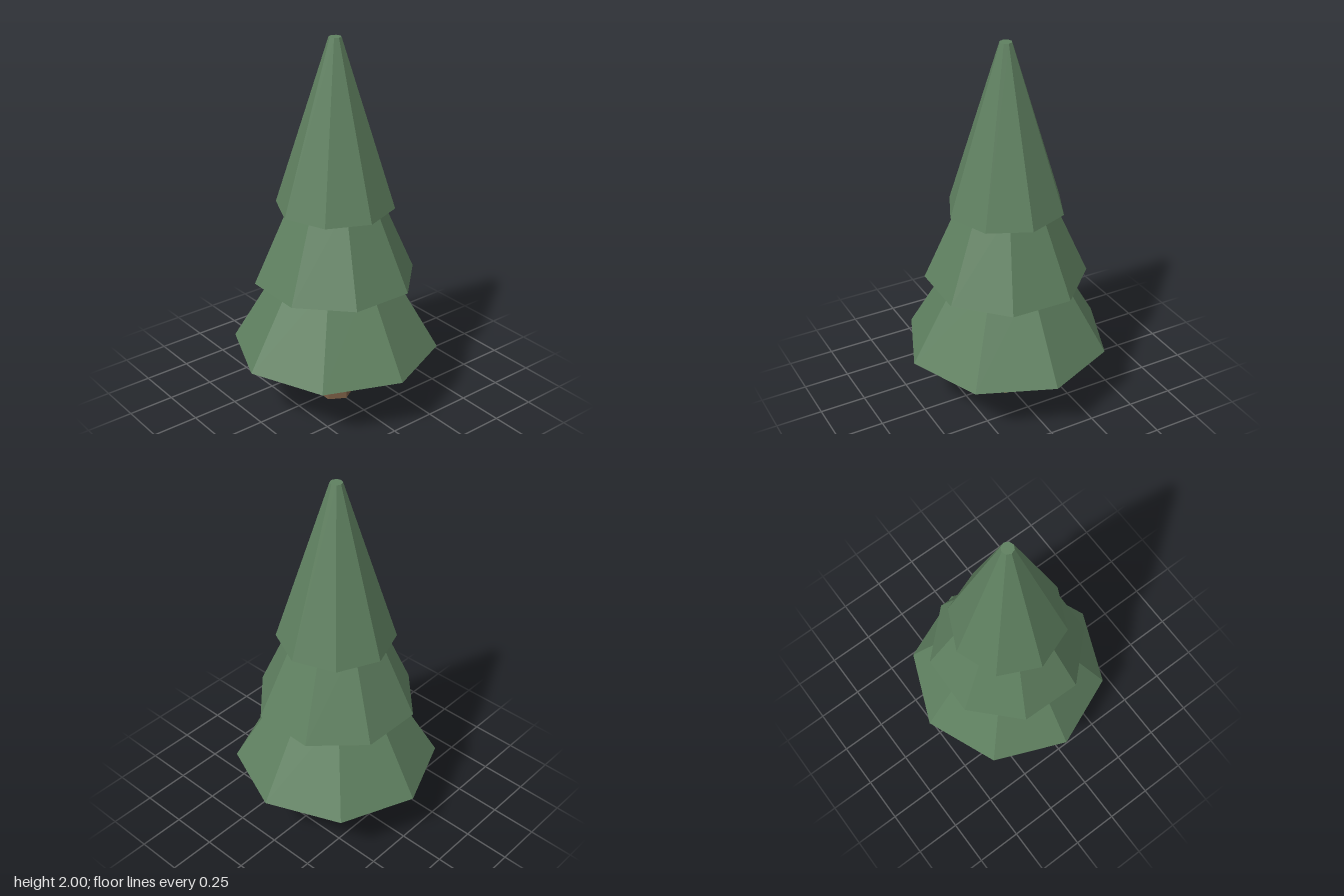
import * as THREE from 'three';

export function createModel() {
  const tree = new THREE.Group();
  tree.name = 'pineTree';

  const foliage = new THREE.MeshStandardMaterial({ color: 0x5f8060 });
  foliage.name = 'foliageGreen';
  foliage.flatShading = true;
  const bark = new THREE.MeshStandardMaterial({ color: 0x785c44 });
  bark.name = 'barkBrown';
  bark.flatShading = true;

  // Faceted, tapered section standing on y0
  function section(name, rBottom, rTop, y0, y1, sides, turn, material) {
    const geometry = new THREE.CylinderGeometry(rTop, rBottom, y1 - y0, sides);
    const mesh = new THREE.Mesh(geometry, material);
    mesh.name = name;
    mesh.position.y = (y0 + y1) / 2;
    mesh.rotation.y = turn;
    tree.add(mesh);
  }

  // Six-sided trunk, its top just inside the lowest tier
  section('trunk', 0.1, 0.086, 0, 0.34, 6, 0, bark);

  // Eight-sided foliage tiers, each turned a little further
  const tiers = [
    ['lowerFoliage', 0.55, 0.27, 0.32, 0.8],
    ['middleFoliage', 0.43, 0.218, 0.72, 1.2],
    ['upperFoliage', 0.31, 0.032, 1.12, 2.0],
  ];
  tiers.forEach(([name, rBottom, rTop, y0, y1], i) => {
    section(name, rBottom, rTop, y0, y1, 8, i * 0.37, foliage);
  });

  return tree;
}
